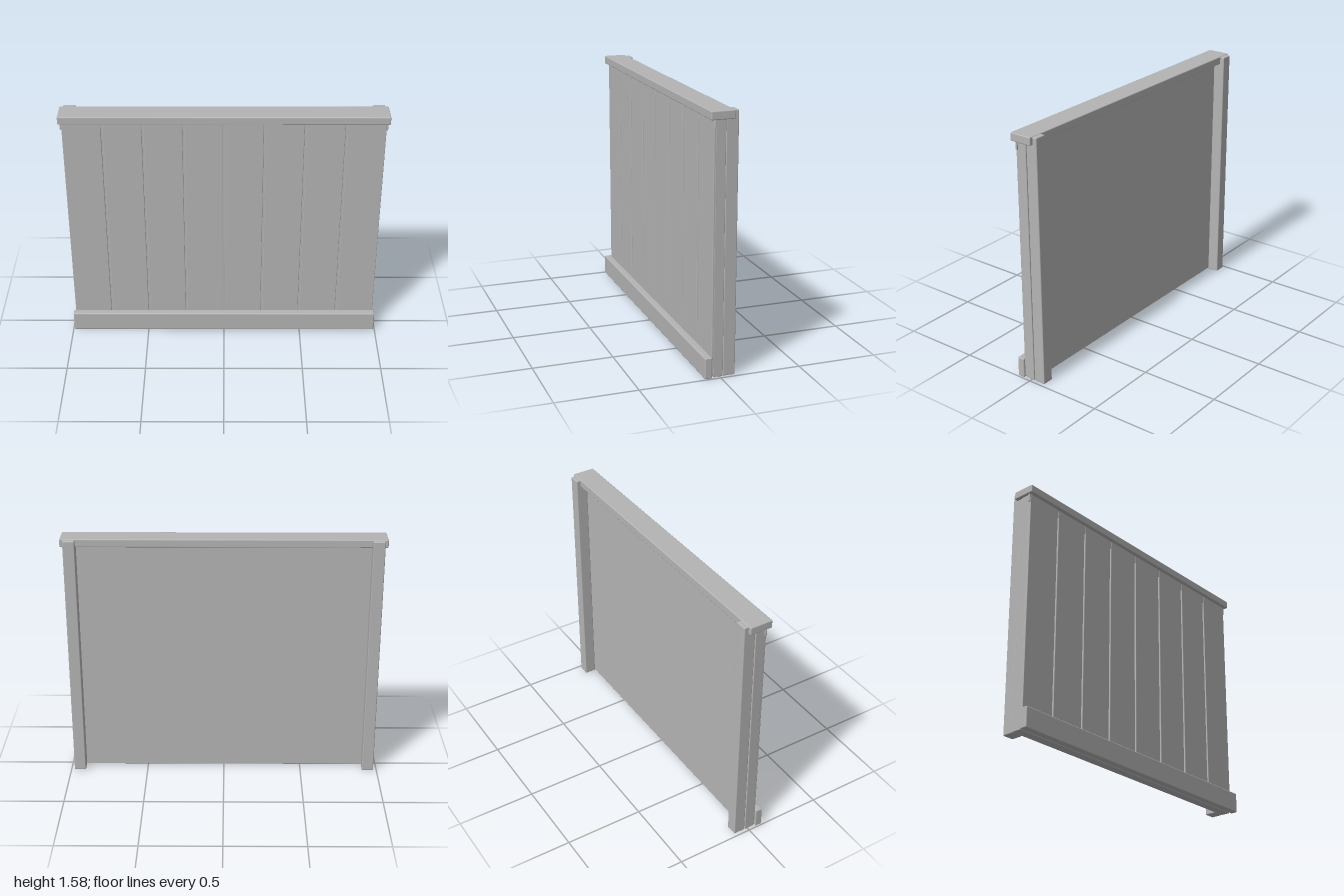
import * as THREE from 'three';
import { RoundedBoxGeometry } from 'three/addons/geometries/RoundedBoxGeometry.js';

export function createModel() {
  const group = new THREE.Group();
  const grey = new THREE.MeshStandardMaterial({ color: 0xb4b4b4 });
  grey.name = 'plain grey';

  // Softened box given by its lower and upper corners
  function board(name, [x0, y0, z0], [x1, y1, z1], radius) {
    const geo = new RoundedBoxGeometry(x1 - x0, y1 - y0, z1 - z0, 2, radius);
    const mesh = new THREE.Mesh(geo, grey);
    mesh.position.set((x0 + x1) / 2, (y0 + y1) / 2, (z0 + z1) / 2);
    mesh.name = name;
    group.add(mesh);
  }

  // Solid panel behind the planks
  board('backingPanel', [-0.982, 0.002, -0.02], [0.982, 1.535, 0.042], 0.004);

  // Eight planks with narrow grooves between them
  const count = 8, pitch = 0.2465, gap = 0.01;
  for (let i = 0; i < count; i++) {
    const x = (i - count / 2) * pitch;
    board('plank', [x + gap / 2, 0.01, 0.03], [x + pitch - gap / 2, 1.535, 0.052], 0.004);
  }

  // Back posts, mirrored
  for (const side of [-1, 1]) {
    const x = side * 0.942;
    board('backPost', [x - 0.037, 0, -0.097], [x + 0.037, 1.577, -0.021], 0.006);
  }

  // Trim under the cap, top cap and baseboard
  board('capTrim', [-0.99, 1.48, 0.038], [0.99, 1.535, 0.05], 0.003);
  board('topCap', [-1, 1.53, -0.069], [1, 1.581, 0.076], 0.006);
  board('baseboard', [-0.993, 0, 0.05], [0.993, 0.13, 0.097], 0.007);

  return group;
}
